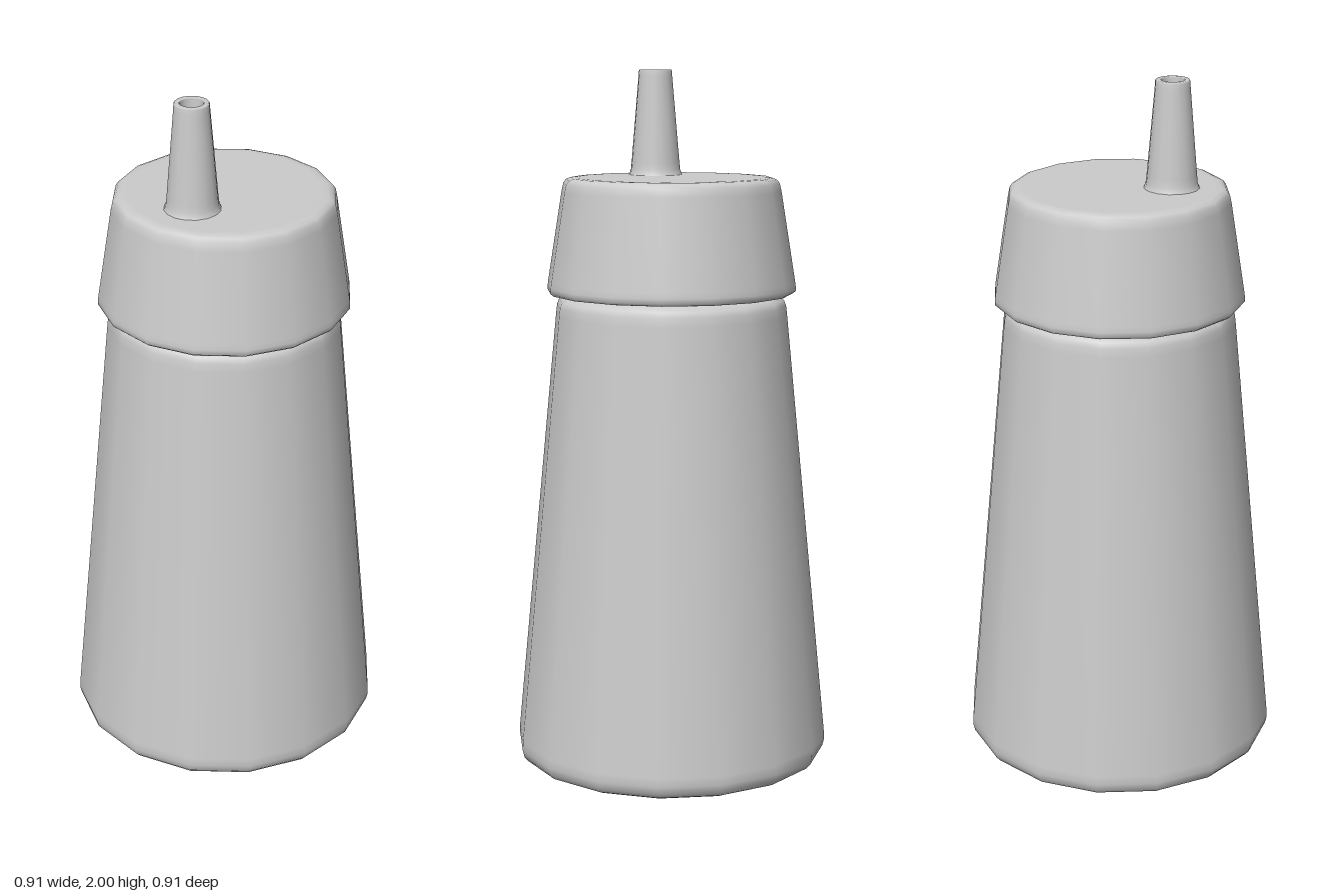
import * as THREE from 'three';

const material = new THREE.MeshStandardMaterial({ color: 0xcccccc });

// Revolve a profile of [radius, y] pairs, listed along the outside from bottom to top
function turned(name, profile, sides) {
  const points = profile.map(([r, y]) => new THREE.Vector2(r, y));
  const mesh = new THREE.Mesh(new THREE.LatheGeometry(points, sides), material);
  mesh.name = name;
  return mesh;
}

export function createModel() {
  const group = new THREE.Group();
  group.name = 'squeezeBottle';

  // Tapered body with rounded foot and shoulder, and a neck hidden in the cap
  group.add(turned('body', [
    [0, 0], [0.40, 0], [0.42, 0.002], [0.438, 0.01], [0.45, 0.024], [0.455, 0.045], [0.454, 0.07],
    [0.333, 1.31], [0.33, 1.335], [0.324, 1.35], [0.31, 1.36], [0.295, 1.363],
    [0.29, 1.37], [0.29, 1.42], [0, 1.42],
  ], 16));

  // Flared cap with soft edges
  group.add(turned('cap', [
    [0.28, 1.37], [0.335, 1.368], [0.349, 1.37], [0.357, 1.377], [0.357, 1.39], [0.355, 1.405],
    [0.314, 1.66], [0.309, 1.682], [0.301, 1.693], [0.288, 1.698], [0.27, 1.699], [0, 1.699],
  ], 16));

  // Off-centre spout with a flared base and a hollow tip
  const spout = turned('spout', [
    [0.08, 1.696], [0.076, 1.702], [0.072, 1.715], [0.07, 1.735],
    [0.049, 1.98], [0.048, 1.996], [0.046, 2], [0.034, 2],
    [0.032, 1.997], [0.032, 1.95], [0.03, 1.945], [0, 1.945],
  ], 16);
  spout.position.z = 0.147;
  group.add(spout);

  return group;
}
